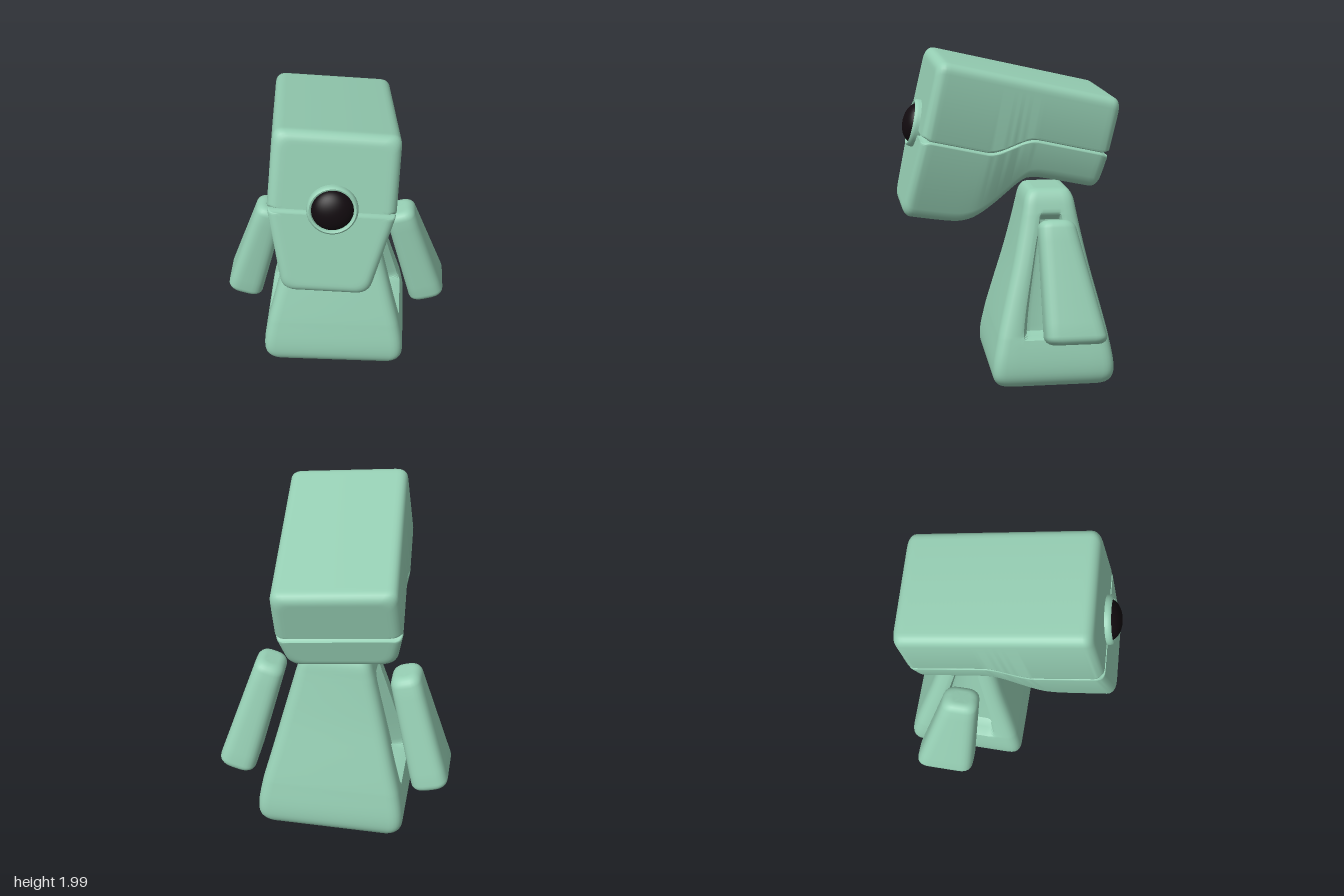
import * as THREE from 'three';
import { toCreasedNormals } from 'three/addons/utils/BufferGeometryUtils.js';

const { lerp, smoothstep } = THREE.MathUtils;
const green = new THREE.MeshStandardMaterial({ color: 0x96cfb4 });
const black = new THREE.MeshStandardMaterial({ color: 0x120b0f });

// Counter-clockwise outline from [u, v, radius] corners; radius 0 gives a plain point
function roundPoly(corners, steps = 6) {
  const out = [];
  corners.forEach(([u, v, r], i) => {
    const p = new THREE.Vector2(u, v);
    if (!r) { out.push(p); return; }
    const toward = (k) => {
      const c = corners[(i + k + corners.length) % corners.length];
      return new THREE.Vector2(c[0] - u, c[1] - v).setLength(r).add(p);
    };
    out.push(...new THREE.QuadraticBezierCurve(toward(-1), p, toward(1)).getPoints(steps));
  });
  return out;
}

// Skin over rings of Vector3 (counter-clockwise about the loft direction), closed at both ends
function loft(rings, crease = 0.6) {
  const centre = (ring) => ring.reduce((s, p) => s.add(p), new THREE.Vector3()).divideScalar(ring.length);
  const first = rings[0], last = rings[rings.length - 1];
  const c0 = centre(first), c1 = centre(last);
  const shrink = (ring, c) => ring.map((p) => p.clone().lerp(c, 0.08));
  const all = [shrink(first, c0), ...rings, shrink(last, c1)];
  const n = first.length, points = [...all.flat(), c0, c1], index = [];
  const top = (all.length - 1) * n, end = all.length * n;
  for (let j = 0; j < n; j++) {
    const k = (j + 1) % n;
    for (let i = 0; i < all.length - 1; i++) {
      const a = i * n + j, b = i * n + k;
      index.push(a, b, b + n, a, b + n, a + n);
    }
    index.push(end, k, j, end + 1, top + j, top + k);
  }
  const geo = new THREE.BufferGeometry().setFromPoints(points);
  geo.setIndex(index);
  return toCreasedNormals(geo, crease);
}

function part(name, geo, material = green) {
  const mesh = new THREE.Mesh(geo, material);
  mesh.name = name;
  return mesh;
}

// Stations from a to b with rounded ends: t = position, d = inset of the section
function roundedStations(a, b, r, middle, steps = 6) {
  const out = [];
  for (let i = 0; i <= steps; i++) {
    const q = (i / steps) * Math.PI / 2;
    out.push({ t: a + r * (1 - Math.sin(q)), d: r * (1 - Math.cos(q)) });
  }
  out.reverse();
  const start = out.map(({ t, d }) => ({ t: a + b - t, d })).reverse(); // mirrored end
  const mid = [];
  for (let i = 1; i < middle; i++) mid.push({ t: lerp(a + r, b - r, i / middle), d: 0 });
  return [...out.reverse(), ...mid, ...start.reverse()].sort((p, q) => p.t - q.t);
}

// Seam between the two halves of the head, stepping up towards the back
const seam = (z) => lerp(0.05, -0.08, smoothstep(z, -0.13, 0.15));

// Underside of the head: deep muzzle in front, shallow at the back
const underside = new THREE.SplineCurve([
  [-0.6, -0.175], [-0.4, -0.177], [-0.24, -0.18], [-0.16, -0.19], [-0.1, -0.23],
  [0.01, -0.385], [0.09, -0.48], [0.16, -0.53], [0.26, -0.555], [0.56, -0.575],
].map((p) => new THREE.Vector2(...p))).getPoints(90);
function bottomAt(z) {
  const i = Math.max(1, underside.findIndex((p) => p.x >= z));
  const a = underside[i - 1], b = underside[i];
  return lerp(a.y, b.y, (z - a.x) / (b.x - a.x));
}

function headHalf(upper) {
  const rings = roundedStations(-0.57, 0.535, 0.055, 44).map(({ t: z, d }) => {
    const s = seam(z), gap = 0.003 + Math.min(d, 0.012);
    const w = 0.357 - d;
    let corners;
    if (upper) {
      const y1 = 0.378 - d, w1 = w - 0.01;
      corners = [[w, s + gap, 0.016], [w1, y1, 0.06], [-w1, y1, 0.06], [-w, s + gap, 0.016]];
    } else {
      const y0 = bottomAt(z) + d, w0 = w - 0.23 * (s - y0);
      corners = [[w0, y0, 0.07], [w, s - gap, 0.016], [-w, s - gap, 0.016], [-w0, y0, 0.07]];
    }
    return roundPoly(corners).map((p) => new THREE.Vector3(p.x, p.y, z));
  });
  return loft(rings);
}

function makeHead() {
  const head = new THREE.Group();
  head.name = 'head';
  head.add(part('upperHead', headHalf(true)), part('lowerHead', headHalf(false)));

  // Single round eye set in a raised rim
  const eye = new THREE.Group();
  eye.name = 'eye';
  const rimProfile = [[0.142, -0.05], [0.142, 0.015], [0.138, 0.03], [0.129, 0.037], [0.12, 0.033], [0.115, 0.02], [0.115, -0.03]]
    .map((p) => new THREE.Vector2(...p));
  const rim = part('eyeRim', toCreasedNormals(new THREE.LatheGeometry(rimProfile, 48), 0.7));
  rim.rotation.x = Math.PI / 2;
  const pupil = part('pupil', new THREE.SphereGeometry(0.118, 40, 24), black);
  pupil.scale.z = 0.62;
  pupil.position.z = 0.008;
  eye.add(rim, pupil);
  eye.position.set(0, -0.05, 0.535);
  head.add(eye);

  // Tilted up, turned and rolled a little
  head.rotation.set(-0.22, -0.05, -0.08, 'YZX');
  head.position.set(-0.04, 1.5, 0);
  return head;
}

// Tapered torso with a pocket pressed into each side
function torsoGeometry() {
  const keys = [ // half width, height, half depth
    [0.35, 0, 0.27], [0.41, 0.015, 0.33], [0.44, 0.06, 0.36], [0.445, 0.14, 0.363],
    [0.42, 0.3, 0.335], [0.412, 0.335, 0.328], [0.37, 0.5, 0.288], [0.308, 0.75, 0.225],
    [0.245, 1.0, 0.172], [0.232, 1.05, 0.162], [0.205, 1.13, 0.145], [0.175, 1.17, 0.12], [0.14, 1.18, 0.09],
  ].map((p) => new THREE.Vector3(...p));
  const rows = new THREE.CatmullRomCurve3(keys).getPoints(4 * (keys.length - 1));
  return loft(rows.map(({ x: hx, y, z: hz }) => {
    const r = Math.min(0.075, hz * 0.42);
    const w = Math.min(lerp(0.19, 0.07, smoothstep(y, 0.2, 1.15)), hz - r - 0.03);
    const depth = lerp(0.11, 0.045, (y - 0.3) / 0.75) * smoothstep(y, 0.298, 0.336) * (1 - smoothstep(y, 0.99, 1.052));
    const half = [[w + 0.02, 0], [w, 0.1], [w * 0.84, 0.9], [w * 0.7, 1]];
    const side = [...half, [0, 1], ...half.map(([z, k]) => [-z, k]).reverse()]
      .map(([z, k]) => [z, hx - depth * k, 0]);
    const corners = [
      [hz, -hx, r], [hz, hx, r], ...side,
      [-hz, hx, r], [-hz, -hx, r], ...side.map(([z, x]) => [-z, -x, 0]),
    ];
    return roundPoly(corners).map((p) => new THREE.Vector3(p.y, y + 0.13 * p.y * p.y * (1 - y / 1.18), p.x));
  }));
}

// Flat arm, widening and swept back towards its lower end
function armGeometry() {
  const length = 0.72;
  return loft(roundedStations(-length, 0, 0.05, 8).map(({ t: y, d }) => {
    const k = -y / length;
    const hx = lerp(0.09, 0.115, k) - d, hz = lerp(0.105, 0.182, k) - d, cz = lerp(0, -0.095, k);
    const r = Math.min(0.075, hx * 0.85);
    return roundPoly([[hz, -hx, r], [hz, hx, r], [-hz, hx, r], [-hz, -hx, r]])
      .map((p) => new THREE.Vector3(p.y, y, p.x + cz));
  }));
}

export function createModel() {
  const model = new THREE.Group();
  model.name = 'figure';

  const body = new THREE.Group();
  body.name = 'body';
  body.add(part('torso', torsoGeometry()));
  const armGeo = armGeometry();
  for (const s of [1, -1]) {
    const arm = part(s > 0 ? 'leftArm' : 'rightArm', armGeo);
    arm.position.set(s * 0.395, 1.035, 0);
    arm.rotation.z = s * 0.29;
    body.add(arm);
  }
  body.rotation.y = -0.11;
  body.position.z = -0.245;

  model.add(body, makeHead());
  return model;
}
